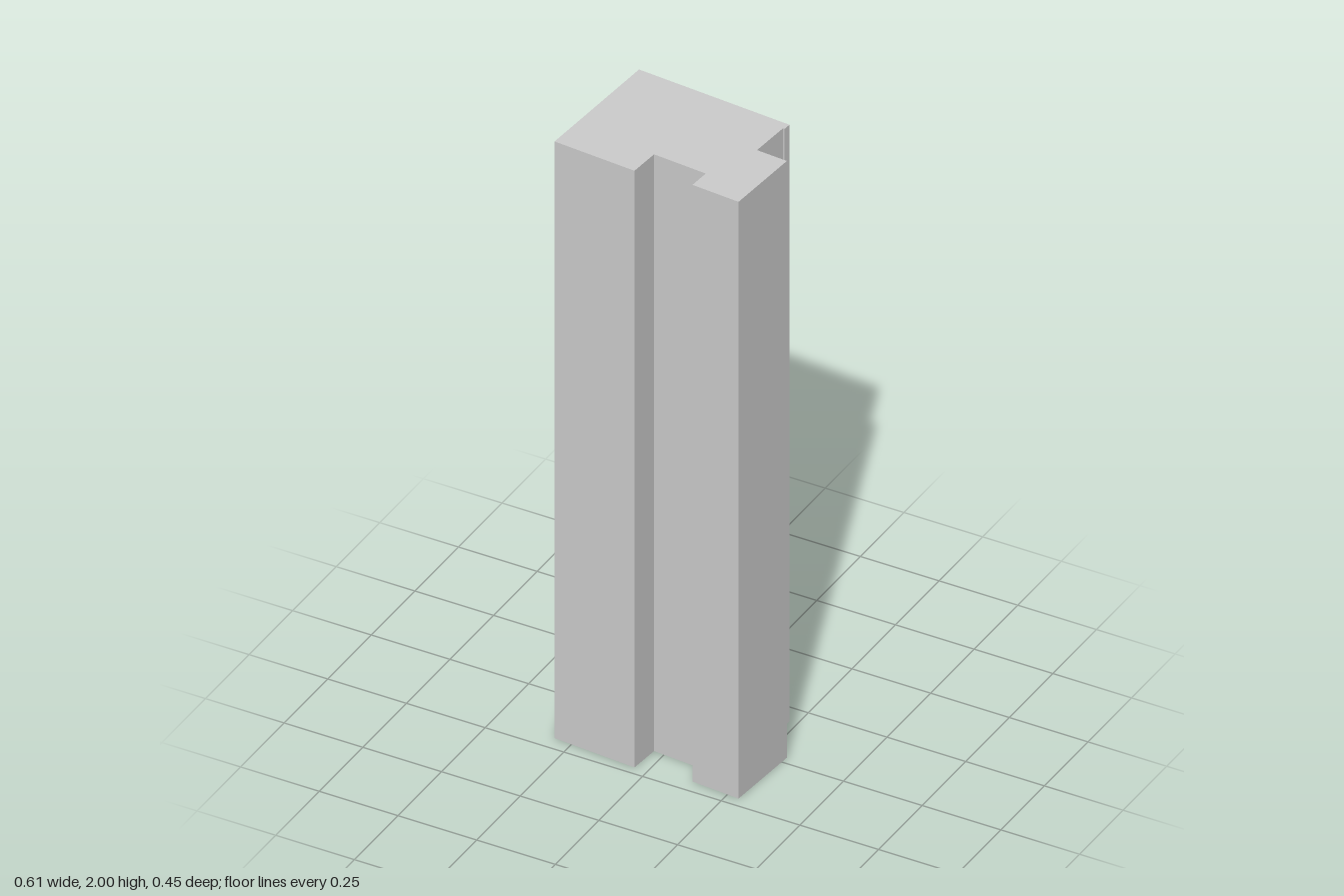
import * as THREE from 'three';

export function createModel() {
  const group = new THREE.Group();
  group.name = 'tower';

  // Floor plan outline as [x, z], clockwise seen from above
  const plan = [
    [-0.274, -0.225], [0.225, -0.187],                    // back wall
    [0.223, -0.162], [0.218, -0.163],                     // small lip at the back corner
    [0.207, -0.033], [0.306, -0.026],                     // step out to the side wing
    [0.287, 0.217], [0.134, 0.205],                       // front of the side wing
    [0.139, 0.138], [-0.033, 0.124],                      // front recess
    [-0.041, 0.222], [-0.306, 0.202],                     // front of the main block
  ];
  const shape = new THREE.Shape(plan.map(([x, z]) => new THREE.Vector2(x, -z)));

  // Extrude the plan straight up to full height
  const geometry = new THREE.ExtrudeGeometry(shape, { depth: 2, bevelEnabled: false });
  geometry.rotateX(-Math.PI / 2);

  const body = new THREE.Mesh(
    geometry,
    new THREE.MeshStandardMaterial({ color: 0xcccccc, flatShading: true })
  );
  body.name = 'towerBody';
  group.add(body);
  return group;
}
